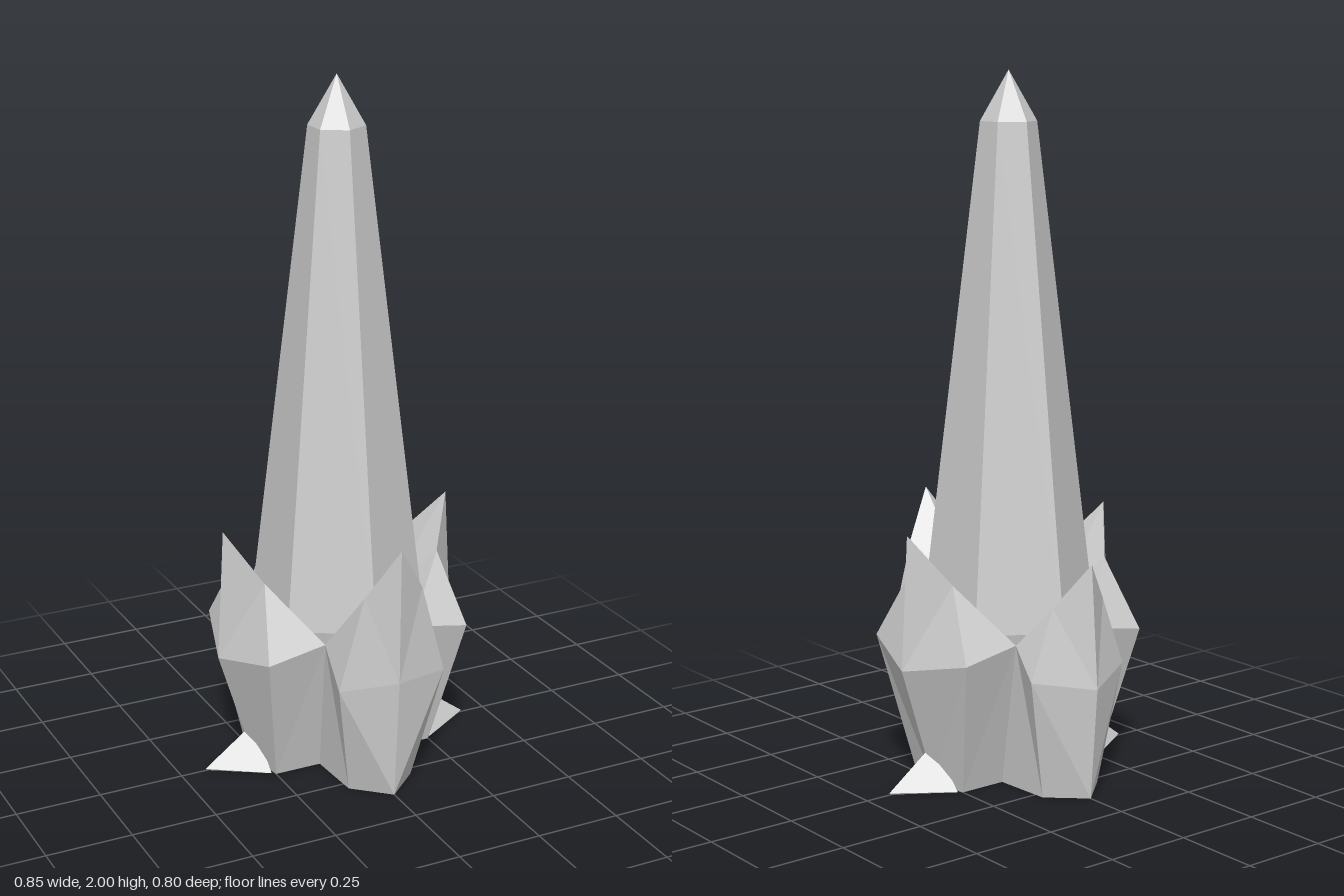
import * as THREE from 'three';
import { ConvexGeometry } from 'three/addons/geometries/ConvexGeometry.js';

// Half of a petal, as [side, up, out] points and faces; the other half is mirrored.
// T tip, R ridge, B keel foot, J valley, A axis, S shoulder, C corner, D base corner, I/E inner corners
const FACES = ['TRS', 'SRC', 'RBC', 'CBD', 'CDI', 'DEI', 'SCI', 'TSJ', 'SIJ', 'BAD', 'DAE'];

function petalGeometry(points) {
  const p = { A: [0, 0, 0], ...points };
  const pos = [];
  for (const face of FACES) {
    const [a, b, c] = [...face].map((k) => p[k]);
    pos.push(...a, ...b, ...c);
    for (const [x, y, z] of [a, c, b]) pos.push(-x, y, z);
  }
  const g = new THREE.BufferGeometry();
  g.setAttribute('position', new THREE.Float32BufferAttribute(pos, 3));
  g.computeVertexNormals();
  return g;
}

export function createModel() {
  const group = new THREE.Group();
  const stone = new THREE.MeshStandardMaterial({ color: 0xcccccc });
  stone.name = 'pale grey crystal';
  stone.flatShading = true;

  const add = (name, geometry, turn = 0) => {
    const mesh = new THREE.Mesh(geometry, stone);
    mesh.name = name;
    mesh.rotation.y = turn;
    group.add(mesh);
  };

  // Six-sided spire with a pointed cap, ridges facing front and back
  const profile = [[0, 0], [0.14, 0], [0.25, 0.45], [0.08, 1.86], [0, 2]];
  add('spire', new THREE.LatheGeometry(profile.map(([r, y]) => new THREE.Vector2(r, y)), 6));

  // Four petals around the base
  const front = petalGeometry({
    T: [0, 0.76, 0.4], S: [0.09, 0.62, 0.355], R: [0, 0.36, 0.395], C: [0.165, 0.35, 0.35],
    B: [0, 0, 0.37], D: [0.1, 0, 0.28], I: [0.14, 0.43, 0.21], E: [0.11, 0, 0.11], J: [0, 0.45, 0.15],
  });
  const back = petalGeometry({
    T: [0, 0.67, 0.368], S: [0.09, 0.55, 0.31], R: [0, 0.32, 0.395], C: [0.165, 0.35, 0.31],
    B: [0, 0, 0.37], D: [0.1, 0, 0.28], I: [0.14, 0.43, 0.21], E: [0.11, 0, 0.11], J: [0, 0.43, 0.15],
  });
  const side = petalGeometry({
    T: [0, 0.735, 0.357], S: [0.1, 0.6, 0.275], R: [0, 0.35, 0.378], C: [0.213, 0.4, 0.315],
    B: [0, 0, 0.27], D: [0.11, 0, 0.25], I: [0.21, 0.43, 0.14], E: [0.11, 0, 0.11], J: [0, 0.45, 0.17],
  });
  add('frontPetal', front);
  add('backPetal', back, Math.PI);

  // Low spikes under the side petals
  const spike = new ConvexGeometry([
    [0, 0.12, 0.27], [0.1, 0, 0.26], [-0.1, 0, 0.26], [0, 0.005, 0.425], [0, 0, 0.42],
  ].map((v) => new THREE.Vector3(...v)));

  for (const [name, s] of [['left', 1], ['right', -1]]) {
    add(name + 'Petal', side, s * Math.PI / 2);
    add(name + 'FootSpike', spike, s * Math.PI / 2);
  }
  return group;
}
